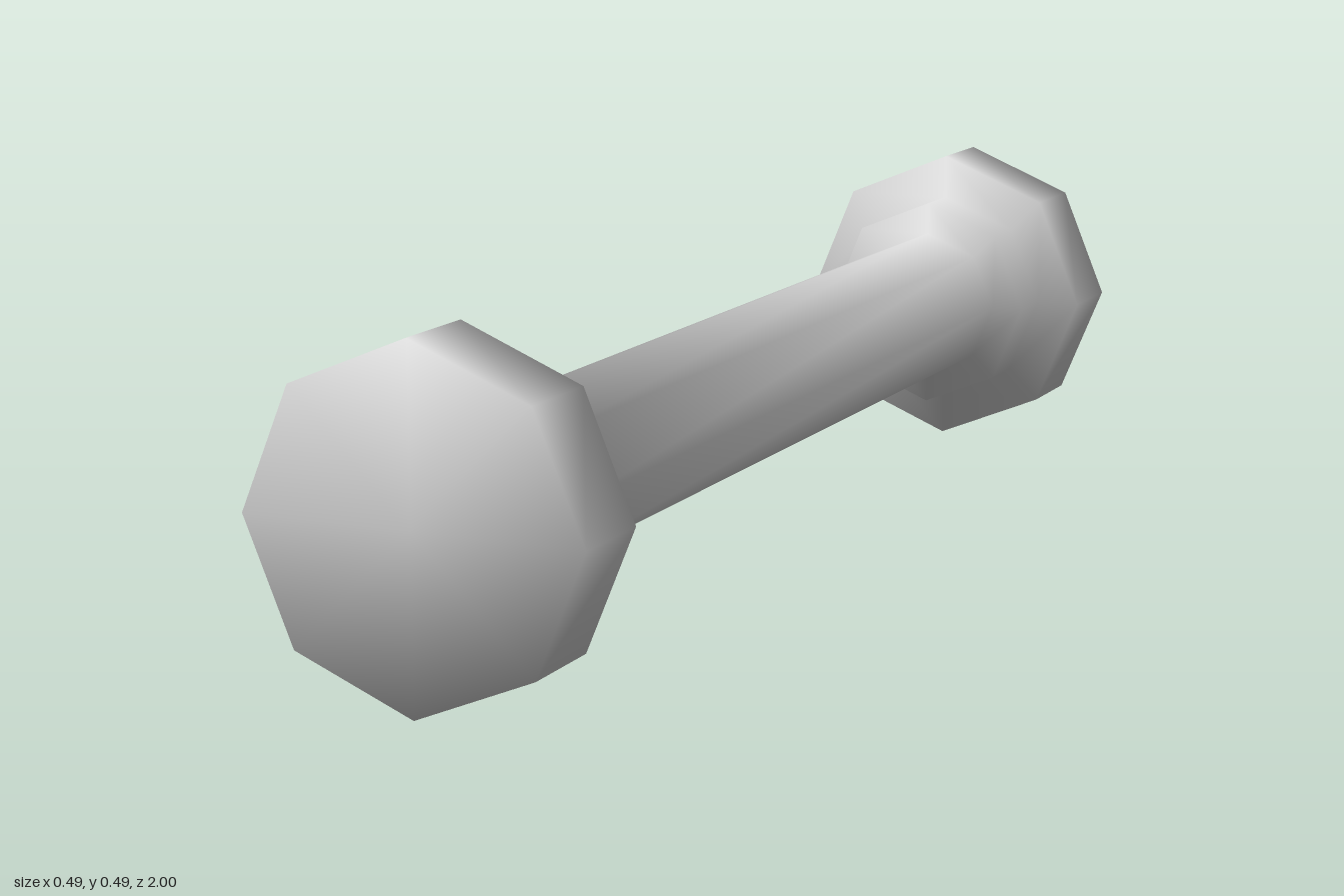
import * as THREE from 'three';

const SIDES = 8;
const CENTRE_Y = 0.243;

// Half profile [radius, distance along the axis], from the middle to the end cap
const HALF = [
  [0.12, 0.78],   // shaft end
  [0.172, 0.78],  // collar
  [0.172, 0.863],
  [0.243, 0.863], // end weight
  [0.243, 1],
  [0, 1],
];

// Smooth normals that blend neighbouring profile segments equally
function blendNormals(geometry, profile) {
  const segment = profile.slice(1).map((p, i) => {
    const d = p.clone().sub(profile[i]).normalize();
    return new THREE.Vector2(d.y, -d.x);
  });
  const pointNormals = profile.map((_, j) => {
    const n = new THREE.Vector2();
    if (j > 0) n.add(segment[j - 1]);
    if (j < segment.length) n.add(segment[j]);
    return n.normalize();
  });
  const normal = geometry.attributes.normal;
  for (let i = 0; i <= SIDES; i++) {
    const a = (i / SIDES) * Math.PI * 2;
    pointNormals.forEach((n, j) => {
      normal.setXYZ(i * profile.length + j, n.x * Math.sin(a), n.y, n.x * Math.cos(a));
    });
  }
}

export function createModel() {
  const model = new THREE.Group();
  model.name = 'dumbbell';

  // Mirror the half profile so both ends match
  const profile = [
    ...[...HALF].reverse().map(([r, d]) => new THREE.Vector2(r, -d)),
    ...HALF.map(([r, d]) => new THREE.Vector2(r, d)),
  ];

  // Shaft, collars and end weights form one continuous turned body
  const geometry = new THREE.LatheGeometry(profile, SIDES);
  blendNormals(geometry, profile);
  geometry.rotateX(Math.PI / 2);

  const body = new THREE.Mesh(geometry, new THREE.MeshStandardMaterial({ color: 0xcccccc }));
  body.name = 'shaftWithEndWeights';
  body.position.y = CENTRE_Y;
  model.add(body);
  return model;
}
